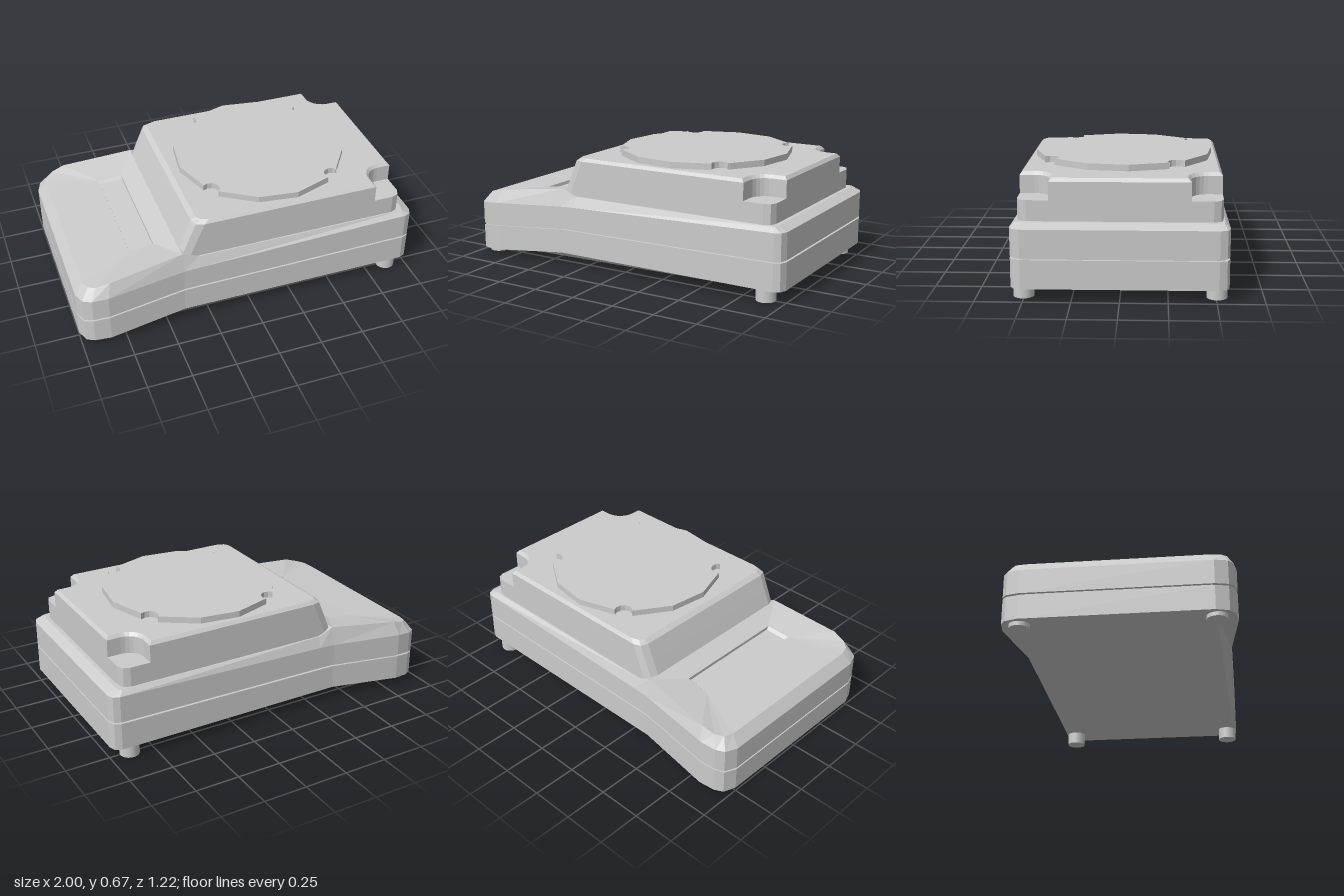
import * as THREE from 'three';

const grey = new THREE.MeshStandardMaterial({ color: 0xcccccc, flatShading: true });

// mirror a half outline (+z side, running from -x to +x) into a closed ring
const mirror = (half) => [...half, ...half.map(([x, y, z]) => [x, y, -z]).reverse()];

function toMesh(name, pos) {
  const geo = new THREE.BufferGeometry();
  geo.setAttribute('position', new THREE.Float32BufferAttribute(pos, 3));
  geo.computeVertexNormals();
  const mesh = new THREE.Mesh(geo, grey);
  mesh.name = name;
  return mesh;
}

// push a triangle, turned so that it faces up (dir 1) or down (dir -1)
function facing(pos, a, b, c, dir = 1) {
  const ny = (b[2] - a[2]) * (c[0] - a[0]) - (b[0] - a[0]) * (c[2] - a[2]);
  pos.push(...a, ...(ny * dir > 0 ? [...b, ...c] : [...c, ...b]));
}

function cap(pos, ring, dir) {
  const flat = ring.map(([x, , z]) => new THREE.Vector2(x, -z));
  for (const [a, b, c] of THREE.ShapeUtils.triangulateShape(flat, []))
    facing(pos, ring[a], ring[b], ring[c], dir);
}

// skin a stack of rings from bottom to top
function loft(rings, bottom, top) {
  const pos = [];
  for (let r = 0; r + 1 < rings.length; r++) {
    const lo = rings[r], hi = rings[r + 1], n = lo.length;
    for (let i = 0; i < n; i++) {
      const j = (i + 1) % n;
      pos.push(...lo[i], ...lo[j], ...hi[j], ...lo[i], ...hi[j], ...hi[i]);
    }
  }
  if (bottom) cap(pos, rings[0], -1);
  if (top) cap(pos, rings[rings.length - 1], 1);
  return pos;
}

// half outline of the case: x, z, bottom y, seam y, wall top y, shoulder x, z, y
const CASE = [
  [-1, 0.5, 0.02, 0.155, 0.3, -0.95, 0.48, 0.36],
  [-0.975, 0.57, 0.022, 0.16, 0.305, -0.935, 0.535, 0.365],
  [-0.93, 0.598, 0.027, 0.17, 0.31, -0.895, 0.565, 0.375],
  [-0.84, 0.612, 0.033, 0.18, 0.32, -0.82, 0.578, 0.397],
  [-0.4, 0.565, 0.07, 0.208, 0.345, -0.4, 0.535, 0.445],
  [-0.3, 0.565, 0.07, 0.21, 0.35, -0.31, 0.54, 0.41],
  [0.95, 0.565, 0.07, 0.225, 0.385, 0.925, 0.54, 0.41],
  [0.985, 0.55, 0.07, 0.225, 0.385, 0.94, 0.535, 0.41],
  [1, 0.51, 0.07, 0.225, 0.385, 0.945, 0.505, 0.41],
];

function makeCase() {
  const group = new THREE.Group();
  group.name = 'case';
  const ring = (fn) => mirror(CASE.map(fn));
  const seam = (inset, dy) => ring(([x, z, , s]) => [x * (1 - inset), s + dy, z - inset]);
  const bottom = ring(([x, z, b]) => [x, b, z]);
  const wallTop = ring(([x, z, , , w]) => [x, w, z]);
  const shoulder = CASE.map((p) => [p[5], p[7], p[6]]);
  const walls = loft([bottom, seam(0, 0), seam(0.015, 0), seam(0.015, 0.01), seam(0, 0.01),
    wallTop, mirror(shoulder)], true, false);
  group.add(toMesh('caseWalls', walls));

  // top deck: facets around the display at the low end, flat under the housing
  const pos = [], flip = ([x, y, z]) => [x, y, -z];
  const bridge = (a, b) => {
    facing(pos, a, b, flip(b));
    facing(pos, a, flip(b), flip(a));
  };
  const L = [-0.65, 0.39, 0.355], R = [-0.51, 0.405, 0.345];
  const l = [-0.645, 0.372, 0.34], r = [-0.51, 0.387, 0.33];
  for (const m of [(p) => p, flip]) {
    for (let i = 0; i < 3; i++) facing(pos, m(L), m(shoulder[i]), m(shoulder[i + 1]));
    facing(pos, m(L), m(shoulder[3]), m(R));
    facing(pos, m(R), m(shoulder[3]), m(shoulder[4]));
    facing(pos, m(L), m(R), m(r));
    facing(pos, m(L), m(r), m(l));
  }
  bridge(shoulder[0], L);
  bridge(R, shoulder[4]);
  for (let i = 4; i < 8; i++) bridge(shoulder[i], shoulder[i + 1]);
  group.add(toMesh('topDeck', pos));

  // sunken display window
  const win = [];
  facing(win, l, r, flip(r));
  facing(win, l, flip(r), flip(l));
  win.push(...flip(L), ...l, ...L, ...flip(L), ...flip(l), ...l);
  win.push(...R, ...r, ...flip(r), ...R, ...flip(r), ...flip(R));
  group.add(toMesh('displayWindow', win));
  group.children[2].material = grey.clone();
  group.children[2].material.side = THREE.DoubleSide;
  return group;
}

// weighing housing ring; i is the inset, notched cuts away the two +x corners
function housingRing(y, xl, i, notched) {
  const half = [[xl, y, 0.475], [xl + 0.015, y, 0.517 - i], [xl + 0.06, y, 0.532 - i]];
  if (notched) {
    half.push([0.755 - i, y, 0.532 - i]);
    for (let k = 0; k <= 6; k++) {
      const a = (k / 6) * Math.PI / 2, rad = 0.09 + i;
      half.push([0.845 - rad * Math.cos(a), y, 0.455 - rad * Math.sin(a)]);
    }
    half.push([0.922 - i, y, 0.365 - i]);
  } else {
    half.push([0.87, y, 0.532], [0.907, y, 0.518], [0.922, y, 0.48]);
  }
  return mirror(half);
}

// weighing pan: faceted disc with four round finger bites
function makePan() {
  const R = 0.497, cx = 0.24, outline = [];
  for (let q = 0; q < 4; q++) {
    const mid = THREE.MathUtils.degToRad(52 + q * 90.5);
    const half = THREE.MathUtils.degToRad(6);
    const bx = Math.cos(mid) * R, bz = Math.sin(mid) * R;
    for (let k = 0; k <= 6; k++) {
      const a = mid - Math.PI / 2 - (k / 6) * Math.PI;
      outline.push([bx + 0.05 * Math.cos(a), bz + 0.05 * Math.sin(a)]);
    }
    for (let k = 0; k <= 3; k++) {
      const a = mid + half + (k / 3) * (Math.PI / 2 - 2 * half);
      outline.push([Math.cos(a) * R, Math.sin(a) * R]);
    }
  }
  outline.reverse();
  const ring = (y) => outline.map(([x, z]) => [cx + x, y, z]);
  return toMesh('weighingPan', loft([ring(0.63), ring(0.67)], false, true));
}

export function createModel() {
  const model = new THREE.Group();
  model.name = 'scale';
  model.add(makeCase());

  model.add(toMesh('housingBase',
    loft([housingRing(0.4, -0.42, 0, false), housingRing(0.52, -0.37, 0, false)], false, true)));
  model.add(toMesh('housingTop', loft([housingRing(0.52, -0.37, 0, true),
    housingRing(0.617, -0.328, 0, true), housingRing(0.635, -0.3, 0.016, true)], false, true)));
  model.add(makePan());

  // feet
  const footGeo = new THREE.CylinderGeometry(0.055, 0.055, 0.09, 20);
  const footMat = new THREE.MeshStandardMaterial({ color: 0xcccccc });
  for (const x of [-0.917, 0.885]) for (const z of [-0.505, 0.505]) {
    const foot = new THREE.Mesh(footGeo, footMat);
    foot.name = 'foot';
    foot.position.set(x, 0.045, z);
    model.add(foot);
  }
  return model;
}
